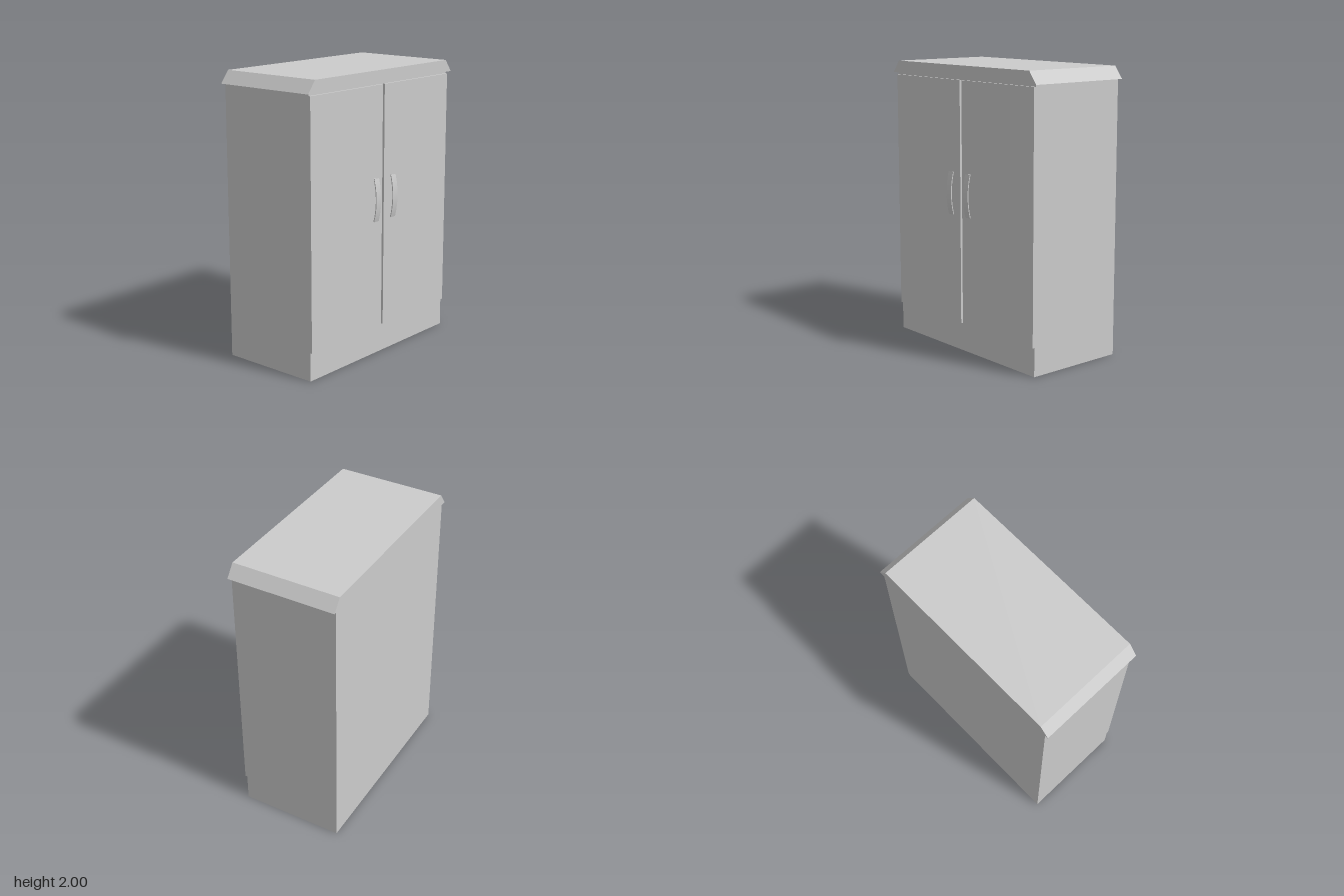
import * as THREE from 'three';
import { toCreasedNormals } from 'three/addons/utils/BufferGeometryUtils.js';

const material = new THREE.MeshStandardMaterial({ color: 0xcccccc });

function add(parent, name, geometry) {
  const mesh = new THREE.Mesh(geometry, material);
  mesh.name = name;
  parent.add(mesh);
  return mesh;
}

// Box given by its lower and upper corners
function box(parent, name, [x0, y0, z0], [x1, y1, z1]) {
  const mesh = add(parent, name, new THREE.BoxGeometry(x1 - x0, y1 - y0, z1 - z0));
  mesh.position.set((x0 + x1) / 2, (y0 + y1) / 2, (z0 + z1) / 2);
  return mesh;
}

// Bowed grip: a thin curved strip, profile in (z, y), extruded across x
function gripGeometry(width) {
  const shape = new THREE.Shape();
  shape.moveTo(0.38, 0.97);
  shape.quadraticCurveTo(0.42, 1.12, 0.38, 1.27);
  shape.lineTo(0.374, 1.268);
  shape.quadraticCurveTo(0.412, 1.12, 0.374, 0.972);
  shape.closePath();
  const geometry = new THREE.ExtrudeGeometry(shape, { depth: width, bevelEnabled: false, curveSegments: 16 });
  geometry.translate(0, 0, -width / 2).rotateY(-Math.PI / 2);
  return toCreasedNormals(geometry, 0.6);
}

function createHandle(name, x) {
  const handle = new THREE.Group();
  handle.name = name;
  handle.position.x = x;
  add(handle, 'grip', gripGeometry(0.05));
  // Small posts fixing the grip to the door
  for (const [post, y] of [['lowerPost', 0.976], ['upperPost', 1.264]]) {
    box(handle, post, [-0.006, y - 0.004, 0.355], [0.006, y + 0.004, 0.379]);
  }
  return handle;
}

export function createModel() {
  const cabinet = new THREE.Group();
  cabinet.name = 'cabinet';

  box(cabinet, 'body', [-0.735, 0, -0.393], [0.735, 1.915, 0.345]);

  // Top with sloping left and right ends
  const profile = new THREE.Shape([
    new THREE.Vector2(-0.765, 1.915),
    new THREE.Vector2(0.765, 1.915),
    new THREE.Vector2(0.7, 2),
    new THREE.Vector2(-0.7, 2),
  ]);
  const top = add(cabinet, 'top', new THREE.ExtrudeGeometry(profile, { depth: 0.77, bevelEnabled: false }));
  top.position.z = -0.4;

  // Pair of doors, each with a handle near the middle gap
  for (const [side, s] of [['left', 1], ['right', -1]]) {
    const xs = [s * 0.013, s * 0.735].sort((a, b) => a - b);
    box(cabinet, side + 'Door', [xs[0], 0.2, 0.345], [xs[1], 1.9, 0.36]);
    cabinet.add(createHandle(side + 'Handle', s * 0.091));
  }
  return cabinet;
}
